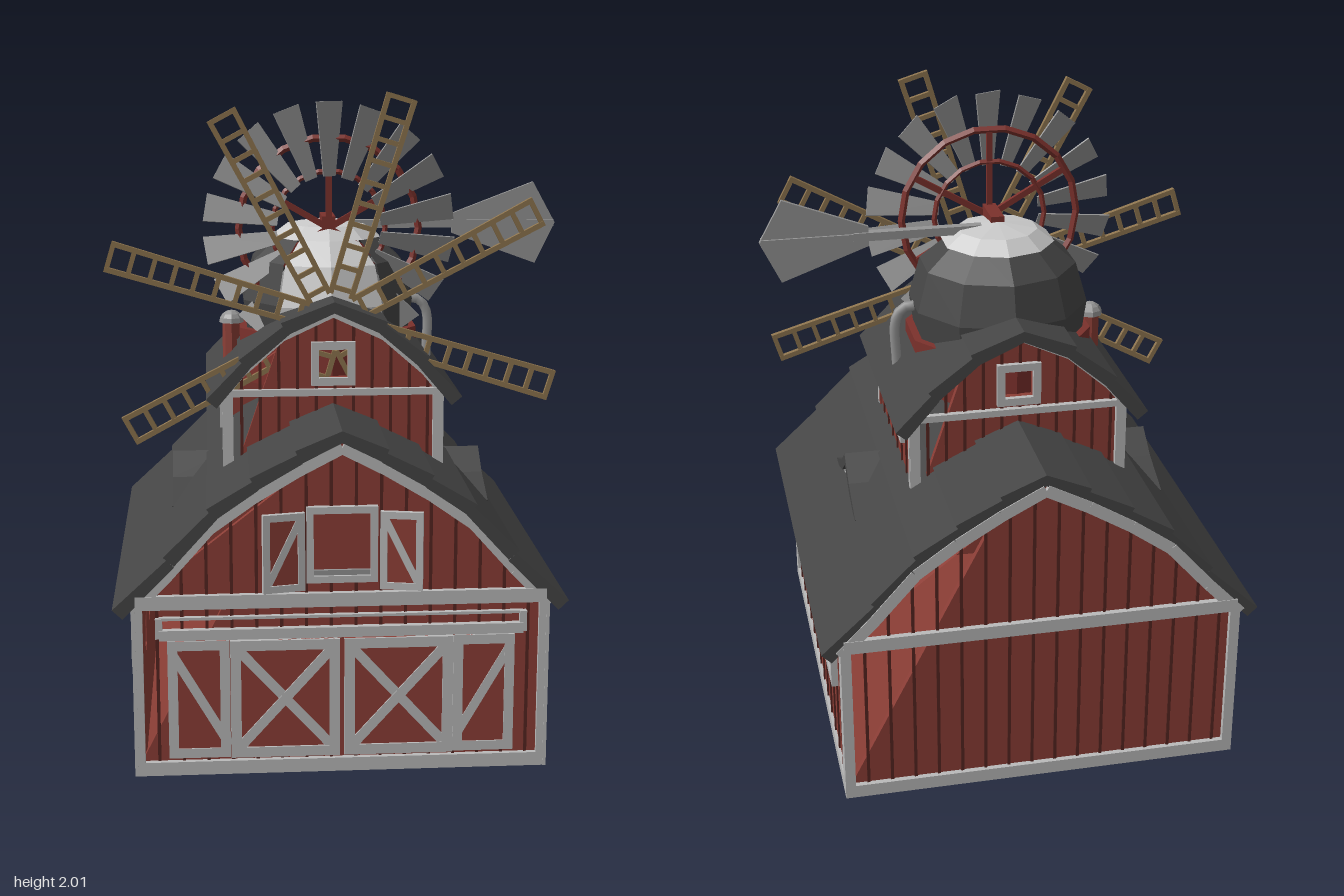
import * as THREE from 'three';

const mat = (name, color, side = THREE.FrontSide) => {
  const m = new THREE.MeshStandardMaterial({ color, side });
  m.name = name;
  return m;
};

export function createModel() {
  const RED = mat('barn red', 0x8c3e36), SEAM = mat('dark red', 0x552520);
  const TRIM = mat('light trim', 0xbababa), ROOF = mat('charcoal', 0x454545, THREE.DoubleSide);
  const METAL = mat('metal grey', 0x949494, THREE.DoubleSide), PALE = mat('pale grey', 0xcacaca, THREE.DoubleSide);
  const WOOD = mat('tan wood', 0x8d744e), WHEEL = mat('wheel red', 0x7c312c);

  const root = new THREE.Group();
  root.name = 'windmillBarn';
  const body = new THREE.Group();
  body.name = 'barn';
  body.position.x = -0.027;
  root.add(body);

  // helpers
  const add = (g, name, geo, m) => {
    const mesh = new THREE.Mesh(geo, m);
    mesh.name = name;
    g.add(mesh);
    return mesh;
  };
  const flat = (geo) => {
    const f = geo.index ? geo.toNonIndexed() : geo;
    f.computeVertexNormals();
    return f;
  };
  const box = (g, name, m, w, h, d, x, y, z) => {
    const b = add(g, name, new THREE.BoxGeometry(w, h, d), m);
    b.position.set(x, y, z);
    return b;
  };
  // a bar between two points of a wall plane, standing d proud of it
  const bar = (g, name, m, x1, y1, x2, y2, t, d, z = 0) => {
    const b = box(g, name, m, Math.hypot(x2 - x1, y2 - y1), t, d, (x1 + x2) / 2, (y1 + y2) / 2, z + d / 2);
    b.rotation.z = Math.atan2(y2 - y1, x2 - x1);
    return b;
  };
  const frame = (g, name, x, y, w, h, t, d) => {
    for (const s of [-1, 1]) {
      box(g, name, TRIM, w, t, d, x, y + s * (h - t) / 2, d / 2);
      box(g, name, TRIM, t, h - 2 * t, d, x + s * (w - t) / 2, y, d / 2);
    }
  };
  const group = (name, x, z, ry, parent = body) => {
    const g = new THREE.Group();
    g.name = name;
    g.position.set(x, 0, z);
    g.rotation.y = ry;
    parent.add(g);
    return g;
  };
  const shapeOf = (pts) => new THREE.Shape(pts.map((p) => new THREE.Vector2(p[0], p[1])));
  const extrude = (pts, depth, holes = []) => {
    const s = shapeOf(pts);
    for (const [x, y, w, h] of holes) {
      s.holes.push(new THREE.Path([[-1, -1], [-1, 1], [1, 1], [1, -1]].map(
        ([a, b]) => new THREE.Vector2(x + a * w / 2, y + b * h / 2))));
    }
    return new THREE.ExtrudeGeometry(s, { depth, bevelEnabled: false });
  };
  const heightAt = (prof, x) => {
    const d = Math.abs(x);
    for (let i = 1; i < prof.length; i++) {
      const [a, b] = [prof[i - 1], prof[i]];
      if (d <= b[0]) return a[1] + (b[1] - a[1]) * (d - a[0]) / (b[0] - a[0]);
    }
    return prof[prof.length - 1][1];
  };
  // boarded wall with window holes [x, y, w, h]; seams stop at the holes
  const wall = (g, outline, holes, halfW, y0, top, step) => {
    add(g, 'wall', extrude(outline, 0.02, holes), RED).position.z = -0.02;
    for (let x = -halfW + step; x < halfW - 0.02; x += step) {
      const hit = holes.find((h) => Math.abs(x - h[0]) < h[2] / 2 + 0.01);
      const spans = hit ? [[y0, hit[1] - hit[3] / 2], [hit[1] + hit[3] / 2, top(x)]] : [[y0, top(x)]];
      for (const [a, b] of spans) box(g, 'boardSeam', SEAM, 0.009, b - a, 0.005, x, (a + b) / 2, 0.0025);
    }
  };
  const gable = (g, prof, halfW, y0, holes, step, t) => {
    const top = (x) => heightAt(prof, x) - 0.03;
    const right = [...prof.filter((p) => p[0] < halfW).map((p) => [p[0], p[1] - 0.03]), [halfW, top(halfW)]];
    const left = right.slice(1).map(([x, y]) => [-x, y]).reverse();
    wall(g, [[-halfW, y0], [halfW, y0], ...[...right].reverse(), ...left], holes, halfW, y0, top, step);
    for (const s of [-1, 1]) {
      for (let i = 1; i < right.length; i++) {
        const [a, b] = [right[i - 1], right[i]];
        bar(g, 'gableTrim', TRIM, s * a[0], a[1] - t / 2, s * b[0], b[1] - t / 2, t, 0.016);
      }
      const h = top(halfW) - y0;
      box(g, 'cornerTrim', TRIM, 0.03, h, 0.016, s * (halfW - 0.015), y0 + h / 2, 0.008);
    }
  };
  // stepped roof planks following a profile, mirrored
  const roof = (name, prof, z0, z1) => {
    const g = group(name, 0, z0, 0);
    for (const s of [-1, 1]) {
      for (let i = 1; i < prof.length; i++) {
        const [a, b] = [prof[i - 1], prof[i]];
        const l = Math.hypot(b[0] - a[0], b[1] - a[1]);
        const n = [(a[1] - b[1]) / l, (b[0] - a[0]) / l];
        const off = (p, k) => [s * (p[0] + n[0] * k), p[1] + n[1] * k];
        add(g, 'roofPlank', extrude([off(a, 0), off(b, 0.012), off(b, -0.028), off([Math.max(a[0], 0), a[1]], -0.03)], z1 - z0), ROOF);
      }
    }
  };

  // main barn
  const MAIN = [[0, 1.105], [0.125, 1.04], [0.25, 0.965], [0.37, 0.88], [0.49, 0.745], [0.635, 0.595]];
  const UPPER = [[0, 1.415], [0.15, 1.345], [0.27, 1.24], [0.365, 1.125]];
  roof('mainRoof', MAIN, -0.685, 0.655);
  box(body, 'floor', RED, 1.17, 0.02, 1.3, 0, 0.115, -0.015);

  const front = group('frontWall', 0, 0.638, 0), back = group('backWall', 0, -0.672, Math.PI);
  gable(front, MAIN, 0.59, 0.105, [[0, 0.78, 0.16, 0.18]], 0.07, 0.035);
  gable(back, MAIN, 0.59, 0.105, [], 0.07, 0.035);
  for (const g of [front, back]) {
    box(g, 'crossBeam', TRIM, 1.16, 0.04, 0.018, 0, 0.62, 0.009);
    box(g, 'baseTrim', TRIM, 1.18, 0.04, 0.016, 0, 0.125, 0.008);
  }
  const WZ = [0.428, 0.153, -0.128, -0.409];
  for (const s of [-1, 1]) {
    const g = group('sideWall', s * 0.58, -0.015, s * Math.PI / 2);
    const holes = WZ.map((z) => [-s * z, 0.455, 0.1, 0.1]);
    wall(g, [[-0.655, 0.105], [0.655, 0.105], [0.655, 0.64], [-0.655, 0.64]], holes, 0.655, 0.105, () => 0.62, 0.094);
    for (const h of holes) frame(g, 'windowFrame', h[0], h[1], 0.16, 0.16, 0.03, 0.02);
    box(g, 'baseTrim', TRIM, 1.33, 0.04, 0.01, 0, 0.125, 0.005);
    for (const e of [-1, 1]) box(g, 'cornerTrim', TRIM, 0.05, 0.5, 0.01, e * 0.645, 0.355, 0.005);
  }

  // sliding doors with crossed braces, and their rail
  for (const s of [-1, 1]) {
    box(front, 'outerDoor', RED, 0.175, 0.35, 0.008, s * 0.405, 0.33, 0.004);
    frame(front, 'outerDoorFrame', s * 0.405, 0.33, 0.175, 0.35, 0.028, 0.012);
    bar(front, 'outerDoorBrace', TRIM, s * 0.48, 0.47, s * 0.32, 0.19, 0.026, 0.011);
    box(front, 'innerDoor', RED, 0.31, 0.35, 0.013, s * 0.161, 0.33, 0.0065);
    frame(front, 'innerDoorFrame', s * 0.161, 0.33, 0.31, 0.35, 0.03, 0.019);
    for (const e of [-1, 1]) {
      bar(front, 'innerDoorBrace', TRIM, s * 0.161 - 0.135, 0.33 - e * 0.15, s * 0.161 + 0.135, 0.33 + e * 0.15, 0.028, 0.017 + e * 0.001);
    }
    box(front, 'railEnd', TRIM, 0.02, 0.06, 0.018, s * 0.515, 0.545, 0.009);
  }
  box(front, 'doorRail', TRIM, 1.03, 0.03, 0.02, 0, 0.525, 0.01);
  box(front, 'doorRailTop', TRIM, 1.03, 0.008, 0.016, 0, 0.572, 0.008);

  // hayloft opening with swung shutters
  frame(front, 'hayloftFrame', 0, 0.78, 0.2, 0.22, 0.02, 0.018);
  box(front, 'hayloftBack', PALE, 0.3, 0.2, 0.008, 0, 0.76, -0.06);
  add(front, 'hayloftHood', extrude([[-0.1, 0.79], [0, 0.84], [0.1, 0.79], [0.1, 0.88], [-0.1, 0.88]], 0.008), ROOF).position.z = -0.05;
  box(front, 'hayloftSill', METAL, 0.17, 0.03, 0.03, 0, 0.69, -0.005);
  for (const s of [-1, 1]) {
    const g = group('shutter', s * 0.11, 0.014, -s * 0.2, front);
    box(g, 'shutterPanel', RED, 0.115, 0.22, 0.01, s * 0.0575, 0.765, 0.005);
    frame(g, 'shutterFrame', s * 0.0575, 0.765, 0.12, 0.225, 0.02, 0.016);
    bar(g, 'shutterBrace', TRIM, s * 0.01, 0.86, s * 0.105, 0.67, 0.02, 0.014);
  }

  // small flared dormers on both slopes
  for (const s of [-1, 1]) {
    const g = group('dormer', s * 0.48, -0.015, s * Math.PI / 2);
    add(g, 'dormerRoof', extrude([[0, 0.895], [-0.085, 0.832], [-0.215, 0.775], [-0.2, 0.76], [-0.08, 0.8],
      [0, 0.855], [0.08, 0.8], [0.2, 0.76], [0.215, 0.775], [0.085, 0.832]], 0.18), ROOF).position.z = -0.18;
    add(g, 'dormerGable', extrude([[-0.12, 0.74], [0.12, 0.74], [0.08, 0.8], [0, 0.855], [-0.08, 0.8]], 0.1), RED).position.z = -0.12;
    for (const e of [-1, 1]) bar(g, 'dormerTrim', TRIM, 0, 0.842, e * 0.1, 0.787, 0.018, 0.01, -0.02);
  }

  // upper loft
  roof('upperRoof', UPPER, -0.395, 0.35);
  for (const s of [-1, 1]) {
    const g = group('loftGable', 0, s > 0 ? 0.285 : -0.322, s > 0 ? 0 : Math.PI);
    gable(g, UPPER, 0.325, 0.8, [[0, 1.225, 0.085, 0.085]], 0.055, 0.022);
    frame(g, 'loftWindowFrame', 0, 1.225, 0.13, 0.13, 0.023, 0.016);
    box(g, 'loftBeam', TRIM, 0.64, 0.02, 0.018, 0, 1.14, 0.009);
    const w = group('loftSide', s * 0.318, -0.018, s * Math.PI / 2);
    const holes = [0.135, -0.146].map((z) => [-s * z, 1.05, 0.05, 0.05]);
    wall(w, [[-0.305, 0.8], [0.305, 0.8], [0.305, 1.15], [-0.305, 1.15]], holes, 0.305, 0.8, () => 1.14, 0.087);
    for (const h of holes) frame(w, 'loftSideFrame', h[0], h[1], 0.085, 0.085, 0.018, 0.015);
    for (const e of [-1, 1]) box(w, 'loftCorner', TRIM, 0.02, 0.34, 0.009, e * 0.305, 0.97, 0.0045);
  }

  // dome: dark shell open at the front over a pale lining and cap
  const dome = group('dome', 0, -0.025, 0);
  const lathe = (pts, segs, start, len) => flat(new THREE.LatheGeometry(pts.map((p) => new THREE.Vector2(p[0], p[1])), segs, start, len));
  const SHELL = [[0.25, 1.23], [0.27, 1.38], [0.235, 1.5], [0.14, 1.58], [0, 1.61]];
  const seg = Math.PI / 5;
  add(dome, 'domeShell', lathe(SHELL, 8, seg, seg * 8), ROOF);
  add(dome, 'domeLining', lathe(SHELL.map(([r, y]) => [r * 0.97, y - 0.005]), 2, -seg, seg * 2), PALE);
  add(dome, 'domeCap', lathe([[0.17, 1.565], [0.12, 1.602], [0, 1.62]], 10, 0, Math.PI * 2), PALE);
  add(dome, 'domeDrum', flat(new THREE.CylinderGeometry(0.282, 0.282, 0.16, 10)), WHEEL).position.y = 1.215;

  // bladed wind wheel
  const wheel = group('windWheel', 0, 0.105, 0);
  wheel.position.y = 1.6;
  for (let i = 0; i < 18; i++) {
    const arm = new THREE.Group();
    arm.name = 'bladeArm';
    arm.rotation.z = i * Math.PI / 9;
    wheel.add(arm);
    const blade = add(arm, 'blade', extrude([[-0.02, 0.155], [0.02, 0.155], [0.044, 0.375], [-0.044, 0.375]], 0.005), METAL);
    blade.rotation.y = 0.42;
    if (i % 3 === 0) box(arm, 'spoke', WHEEL, 0.018, 0.26, 0.014, 0, 0.13, -0.012);
  }
  add(wheel, 'outerRing', flat(new THREE.TorusGeometry(0.27, 0.011, 4, 18)), WHEEL).position.z = -0.014;
  add(wheel, 'innerRing', flat(new THREE.TorusGeometry(0.17, 0.008, 4, 18)), WHEEL).position.z = -0.014;
  box(wheel, 'axle', WHEEL, 0.04, 0.04, 0.13, 0, 0.015, -0.07);

  // tail boom and vane
  box(body, 'tailBoom', METAL, 0.42, 0.025, 0.028, 0.22, 1.6, -0.018);
  add(body, 'tailVane', extrude([[0.385, 1.57], [0.645, 1.475], [0.705, 1.6], [0.635, 1.725], [0.385, 1.63]], 0.014), METAL).position.z = -0.025;
  box(body, 'vaneRib', METAL, 0.3, 0.02, 0.028, 0.55, 1.6, -0.018);

  // eight ladder sails
  const sails = group('sails', 0, 0.27, 0);
  sails.position.y = 1.345;
  for (let i = 0; i < 8; i++) {
    const sail = new THREE.Group();
    sail.name = 'sail';
    sail.rotation.z = (28 + 45 * i) * Math.PI / 180;
    sails.add(sail);
    for (const s of [-1, 1]) box(sail, 'sailRail', WOOD, 0.6, 0.015, 0.016, 0.38, s * 0.035, 0).rotation.z = s * 0.012;
    for (let k = 0; k < 10; k++) box(sail, 'sailRung', WOOD, 0.014, 0.075, 0.014, 0.1 + k * 0.0637, 0, 0);
  }

  // chimney on one side, vent pipe on the other
  const chimney = group('chimney', -0.293, -0.018, 0);
  add(chimney, 'chimneyStack', flat(new THREE.CylinderGeometry(0.028, 0.028, 0.16, 8)), RED).position.y = 1.225;
  add(chimney, 'chimneyCap', flat(new THREE.SphereGeometry(0.038, 8, 4, 0, Math.PI * 2, 0, Math.PI / 2)), METAL).position.y = 1.3;
  const bend = new THREE.CatmullRomCurve3([[0.23, 1.37], [0.285, 1.365], [0.31, 1.33], [0.31, 1.18]].map(
    ([x, y]) => new THREE.Vector3(x, y, -0.018)));
  add(body, 'ventPipe', new THREE.TubeGeometry(bend, 10, 0.016, 6), METAL);

  // underside: ring, hatch plate and pointed post
  const ring = add(body, 'undersideRing', new THREE.RingGeometry(0.29, 0.34, 10), ROOF);
  ring.rotation.x = Math.PI / 2;
  ring.position.set(0, 0.102, -0.02);
  box(body, 'undersidePlate', METAL, 0.19, 0.006, 0.2, -0.445, 0.103, -0.03);
  const spike = add(body, 'groundSpike', flat(new THREE.ConeGeometry(0.02, 0.11, 6)), WOOD);
  spike.rotation.x = Math.PI;
  spike.position.set(0, 0.055, -0.01);
  return root;
}
